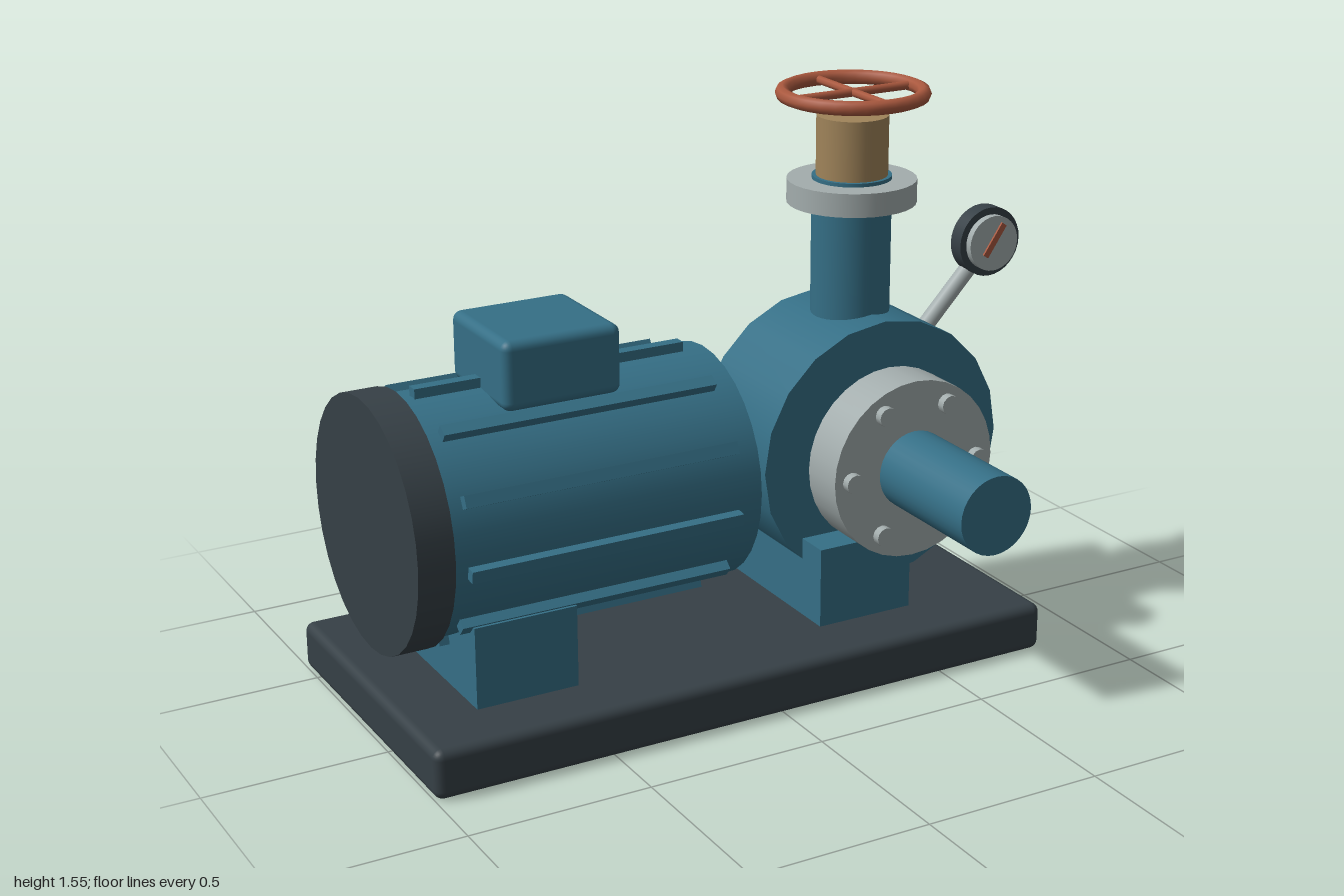
import * as THREE from 'three';
import { RoundedBoxGeometry } from 'three/addons/geometries/RoundedBoxGeometry.js';

const mat = (name, color) => {
  const m = new THREE.MeshStandardMaterial({ color });
  m.name = name;
  return m;
};

export function createModel() {
  const blue = mat('machine blue', 0x356f86);
  const dark = mat('charcoal', 0x364046);
  const steel = mat('steel grey', 0xa3adad);
  const brass = mat('brass', 0xa0845a);
  const red = mat('wheel red', 0xa9583e);

  const model = new THREE.Group();
  model.name = 'motorPump';
  const Z = -0.134; // shared depth of the motor and pump axes
  const PX = 0.464, PY = 0.568; // pump axis
  const MY = 0.578; // motor axis height

  const add = (name, geometry, material, x, y, z, parent = model) => {
    const mesh = new THREE.Mesh(geometry, material);
    mesh.name = name;
    mesh.position.set(x, y, z);
    parent.add(mesh);
    return mesh;
  };

  // Cylinder between two points
  const rod = (name, material, a, b, r, segments = 32) => {
    const start = new THREE.Vector3(...a), end = new THREE.Vector3(...b);
    const dir = end.clone().sub(start);
    const mid = start.clone().add(end).multiplyScalar(0.5);
    const mesh = add(name, new THREE.CylinderGeometry(r, r, dir.length(), segments), material, mid.x, mid.y, mid.z);
    mesh.quaternion.setFromUnitVectors(new THREE.Vector3(0, 1, 0), dir.normalize());
    return mesh;
  };

  // Base plate and feet
  add('basePlate', new RoundedBoxGeometry(1.825, 0.135, 0.905, 3, 0.025), dark, -0.0875, 0.0675, -0.135);
  add('motorFoot', new THREE.BoxGeometry(0.287, 0.24, 0.552), blue, -0.665, 0.24, Z);
  add('pumpFoot', new THREE.BoxGeometry(0.287, 0.24, 0.552), blue, 0.355, 0.24, Z);

  // Motor with end cap, terminal box and shaft
  rod('motorBody', blue, [-0.9, MY, Z], [0, MY, Z], 0.32);
  rod('motorEndCap', dark, [-0.98, MY, Z], [-0.88, MY, Z], 0.342);
  add('terminalBox', new RoundedBoxGeometry(0.332, 0.187, 0.33, 3, 0.025), blue, -0.489, 0.962, Z);
  rod('driveShaft', steel, [-0.02, MY, Z], [0.2, MY, Z], 0.12);

  // Cooling fins around the motor
  const fins = new THREE.Group();
  fins.name = 'coolingFins';
  fins.position.set(-0.452, MY, Z);
  model.add(fins);
  const finGeometry = new THREE.BoxGeometry(0.77, 0.05, 0.033);
  for (let i = 0; i < 11; i++) {
    const a = (i / 11) * Math.PI * 2;
    const fin = add('fin', finGeometry, blue, 0, Math.cos(a) * 0.32, Math.sin(a) * 0.32, fins);
    fin.rotation.x = a;
  }

  // Pump casing and inlet
  rod('pumpCasing', blue, [PX, PY, -0.308], [PX, PY, 0.045], 0.372, 20);
  rod('inletPipe', blue, [PX, PY, 0], [PX, PY, 0.587], 0.109);
  rod('inletFlange', steel, [PX, PY, 0.07], [PX, PY, 0.203], 0.25);
  for (let i = 0; i < 6; i++) {
    const a = (i / 6) * Math.PI * 2;
    const x = PX + Math.cos(a) * 0.198, y = PY + Math.sin(a) * 0.198;
    rod('flangeBolt', steel, [x, y, 0.19], [x, y, 0.227], 0.027, 12);
  }

  // Outlet and valve
  rod('outletPipe', blue, [PX, 0.85, Z], [PX, 1.31, Z], 0.109);
  rod('outletFlange', steel, [PX, 1.235, Z], [PX, 1.3, Z], 0.177);
  rod('valveBonnet', brass, [PX, 1.3, Z], [PX, 1.475, Z], 0.098);

  // Handwheel
  const rim = add('handwheelRim', new THREE.TorusGeometry(0.19, 0.02, 8, 32), red, PX, 1.534, Z);
  rim.rotation.x = Math.PI / 2;
  rod('handwheelSpoke', red, [PX - 0.19, 1.534, Z], [PX + 0.19, 1.534, Z], 0.012, 8);
  rod('handwheelSpoke', red, [PX, 1.534, Z - 0.19], [PX, 1.534, Z + 0.19], 0.012, 8);

  // Pressure gauge
  const GX = 0.9, GY = 1.066;
  rod('gaugeStem', steel, [0.67, 0.79, Z], [0.88, 1.012, Z], 0.024, 16);
  rod('gaugeCase', dark, [GX, GY, -0.143], [GX, GY, -0.096], 0.099);
  rod('gaugeDial', steel, [GX, GY, -0.1], [GX, GY, -0.075], 0.079);
  const needle = add('gaugeNeedle', new THREE.BoxGeometry(0.018, 0.105, 0.008), red, GX, GY + 0.01, -0.073);
  needle.rotation.z = -0.6;

  return model;
}
